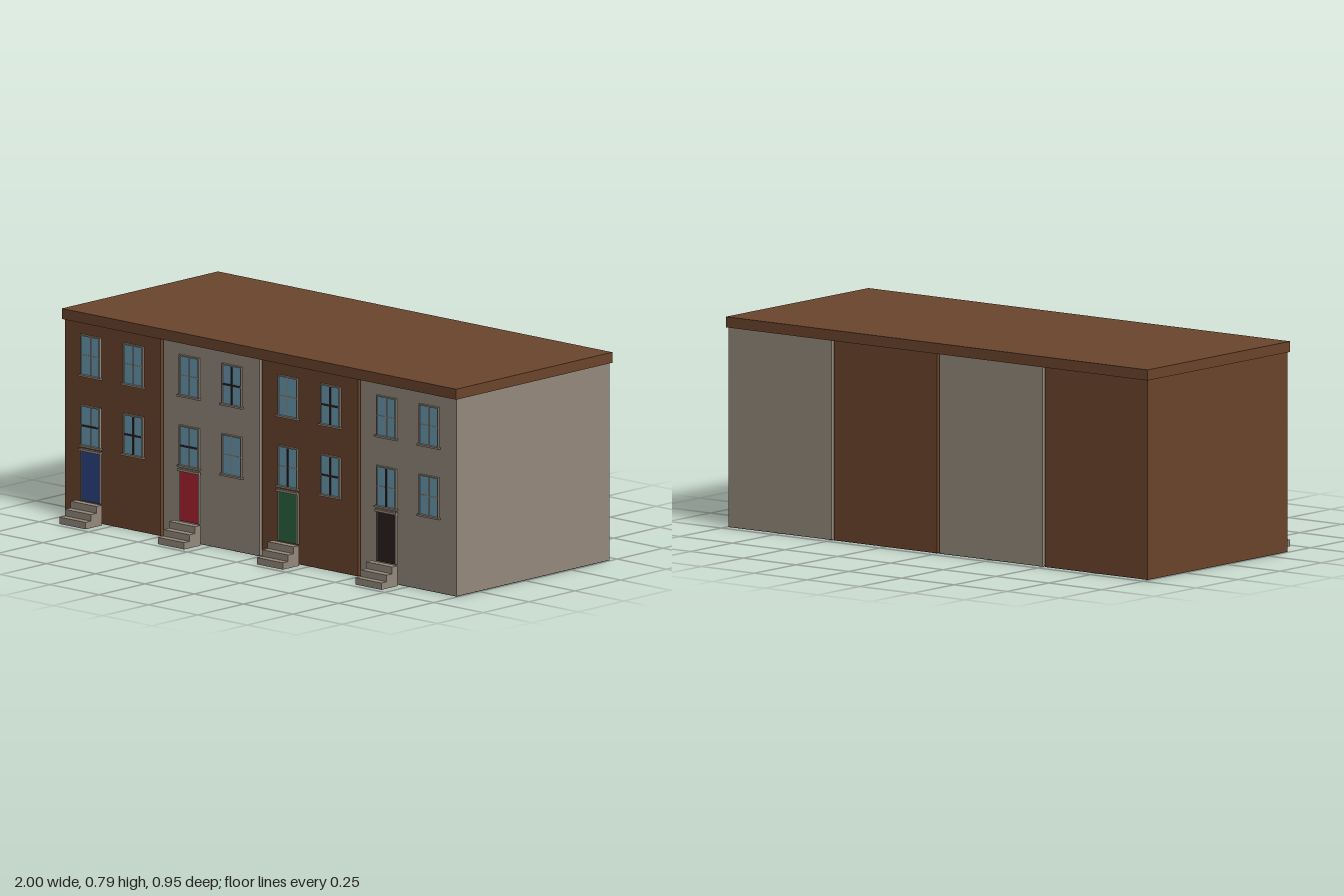
import * as THREE from 'three';

const mat = (name, color) => {
  const m = new THREE.MeshStandardMaterial({ color });
  m.name = name;
  return m;
};

export function createModel() {
  const brick = mat('brown brick', 0x6b452c);
  const stone = mat('grey stone', 0x958a7c);
  const glass = mat('window glass', 0x6b9ab3);
  const black = mat('near black', 0x2a2020);
  const blue = mat('blue paint', 0x2c4485);
  const red = mat('red paint', 0xab2230);
  const green = mat('green paint', 0x2d633f);

  // Box given by its min and max on each axis
  const box = (parent, name, material, [x0, x1], [y0, y1], [z0, z1]) => {
    const m = new THREE.Mesh(new THREE.BoxGeometry(x1 - x0, y1 - y0, z1 - z0), material);
    m.position.set((x0 + x1) / 2, (y0 + y1) / 2, (z0 + z1) / 2);
    m.name = name;
    parent.add(m);
  };

  // Stone-framed sash window; bars can be dark vertically and/or horizontally
  const makeWindow = (x, y, bars) => {
    const g = new THREE.Group();
    g.name = 'window';
    const w = 0.05, h = 0.156, t = 0.005;
    box(g, 'glass', glass, [-w + t, w - t], [t, h - t], [0.374, 0.378]);
    for (const s of [-1, 1]) {
      const a = s * w, b = s * (w - t);
      box(g, 'frameSide', stone, [Math.min(a, b), Math.max(a, b)], [0, h], [0.373, 0.382]);
    }
    box(g, 'frameTop', stone, [-w + t, w - t], [h - t, h], [0.373, 0.382]);
    box(g, 'sill', stone, [-0.056, 0.056], [-0.003, 0.004], [0.374, 0.387]);
    const v = bars.includes('v'), hz = bars.includes('h');
    const tv = v ? 0.0035 : 0.002, th = hz ? 0.0035 : 0.002;
    box(g, 'uprightBar', v ? black : stone, [-tv, tv], [t, h - t], [0.377, v ? 0.3805 : 0.38]);
    box(g, 'crossBar', hz ? black : stone, [-w + t, w - t], [h / 2 - th, h / 2 + th], [0.377, hz ? 0.381 : 0.3795]);
    g.position.set(x, y, 0);
    return g;
  };

  // Door with jambs and lintel, plus three front steps
  const makeEntrance = (x, paint) => {
    const g = new THREE.Group();
    g.name = 'entrance';
    box(g, 'door', paint, [-0.045, 0.047], [0.077, 0.267], [0.373, 0.379]);
    box(g, 'leftJamb', stone, [0.047, 0.051], [0.077, 0.267], [0.373, 0.381]);
    box(g, 'rightJamb', stone, [-0.05, -0.045], [0.077, 0.267], [0.373, 0.381]);
    box(g, 'lintel', stone, [-0.054, 0.054], [0.266, 0.275], [0.374, 0.386]);
    const profile = new THREE.Shape();
    [[0.388, 0], [0.476, 0], [0.476, 0.026], [0.447, 0.026], [0.447, 0.051],
      [0.417, 0.051], [0.417, 0.077], [0.388, 0.077]].forEach(([z, y], i) =>
      i ? profile.lineTo(-z, y) : profile.moveTo(-z, y));
    const geo = new THREE.ExtrudeGeometry(profile, { depth: 0.132, bevelEnabled: false });
    geo.translate(0, 0, -0.066).rotateY(Math.PI / 2);
    const steps = new THREE.Mesh(geo, stone);
    steps.name = 'steps';
    g.add(steps);
    g.position.x = x;
    return g;
  };

  // Bars in order: upper left, upper right, lower left, lower right (as seen)
  const houses = [
    { wall: brick, door: blue, bars: ['', '', 'h', 'vh'] },
    { wall: stone, door: red, bars: ['', 'vh', 'h', ''] },
    { wall: brick, door: green, bars: ['', 'vh', 'v', 'vh'] },
    { wall: stone, door: black, bars: ['', '', 'v', ''] },
  ];

  const root = new THREE.Group();
  root.name = 'terrace';
  houses.forEach(({ wall, door, bars }, i) => {
    const house = new THREE.Group();
    house.name = 'house';
    box(house, 'walls', wall, [-0.243, 0.243], [0.002, 0.752], [-0.465, 0.369]);
    box(house, 'base', black, [-0.243, 0.243], [0, 0.002], [-0.465, 0.369]);
    bars.forEach((b, k) =>
      house.add(makeWindow(k % 2 ? 0.112 : -0.104, k < 2 ? 0.553 : 0.285, b)));
    house.add(makeEntrance(-0.104, door));
    house.position.x = -0.75 + i * 0.5;
    root.add(house);
  });

  // One flat roof over all houses
  box(root, 'roof', brick, [-1, 1], [0.752, 0.792], [-0.474, 0.378]);
  return root;
}
